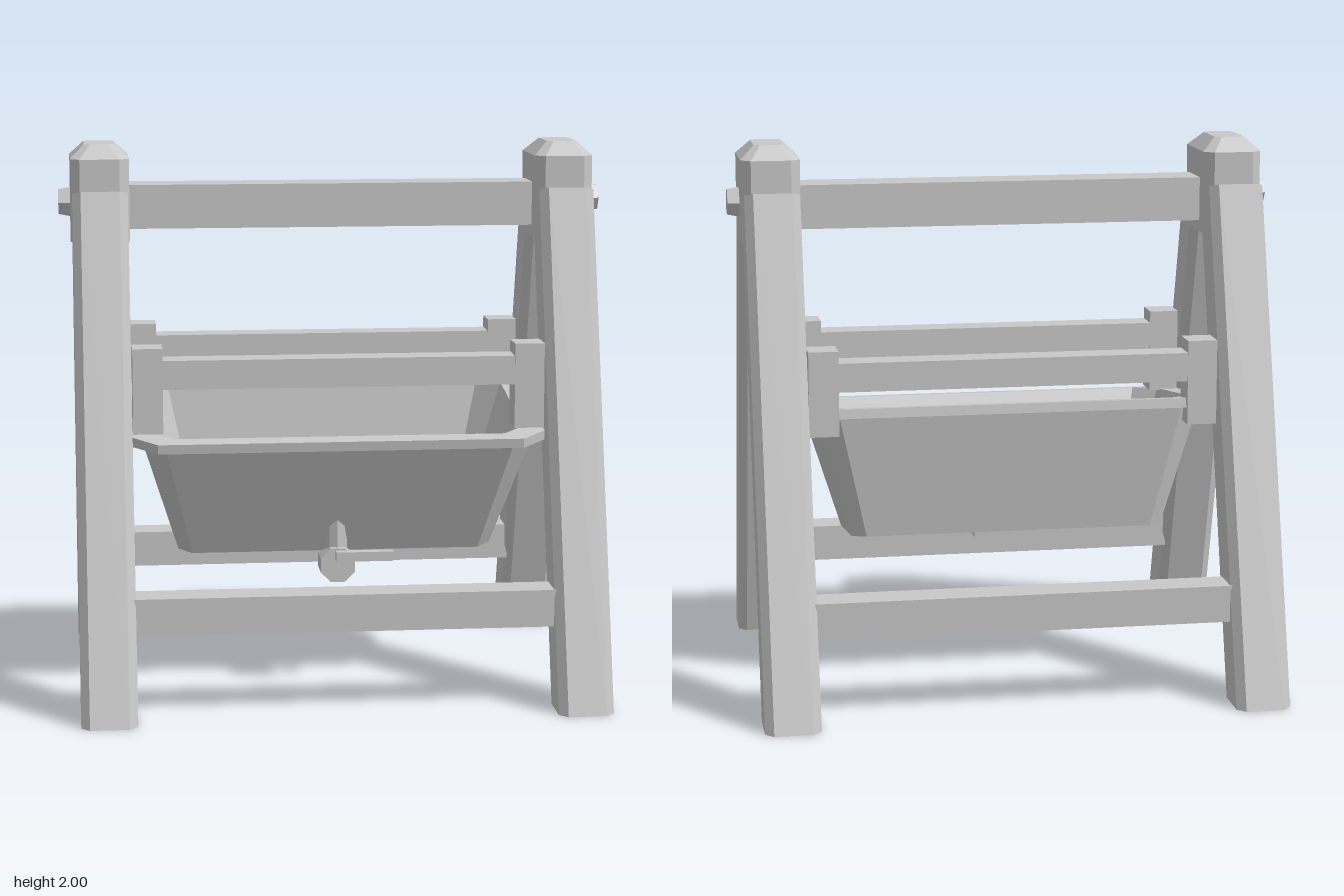
import * as THREE from 'three';

const grey = new THREE.MeshStandardMaterial({ color: 0xc8c8c8 });
grey.name = 'plain grey';

// Eight corners of a rectangle with cut corners at height y
function octagon(y, hx, hz, c) {
  const a = hx - c, b = hz - c;
  return [[hx, -b], [hx, b], [a, hz], [-a, hz], [-hx, b], [-hx, -b], [-a, -hz], [a, -hz]]
    .map(([x, z]) => new THREE.Vector3(x, y, z));
}

// Flat-shaded skin through the rings, closed at both ends
function loft(rings) {
  const pos = [];
  const tri = (...pts) => pts.forEach((p) => pos.push(p.x, p.y, p.z));
  const n = rings[0].length;
  for (let i = 0; i < rings.length - 1; i++) {
    for (let k = 0; k < n; k++) {
      const j = (k + 1) % n;
      const [a, b, c, d] = [rings[i][k], rings[i][j], rings[i + 1][j], rings[i + 1][k]];
      tri(a, d, c);
      tri(a, c, b);
    }
  }
  const end = rings[rings.length - 1];
  for (let k = 1; k < n - 1; k++) {
    tri(rings[0][0], rings[0][k], rings[0][k + 1]);
    tri(end[0], end[k + 1], end[k]);
  }
  const geo = new THREE.BufferGeometry();
  geo.setAttribute('position', new THREE.Float32BufferAttribute(pos, 3));
  geo.computeVertexNormals();
  return geo;
}

export function createModel() {
  const model = new THREE.Group();
  model.name = 'hangingTrough';

  const add = (name, geo, x = 0, y = 0, z = 0, parent = model) => {
    const mesh = new THREE.Mesh(geo.index ? geo.toNonIndexed() : geo, grey);
    mesh.geometry.computeVertexNormals();
    mesh.name = name;
    mesh.position.set(x, y, z);
    parent.add(mesh);
    return mesh;
  };
  const box = (name, w, h, d, x, y, z) => add(name, new THREE.BoxGeometry(w, h, d), x, y, z);

  // Leaning legs, cut level with the ground
  const lean = Math.atan(0.293);
  const foot = octagon(0, 0.1, 0.1, 0.03);
  foot.forEach((p) => { p.y = -p.z * Math.tan(lean); });
  const legGeo = loft([foot, octagon(1.888, 0.1, 0.1, 0.03)]);

  // Chamfered block at the top of each leg pair
  const capGeo = loft([
    octagon(1.65, 0.107, 0.165, 0.035),
    octagon(1.95, 0.107, 0.165, 0.035),
    octagon(2.0, 0.055, 0.105, 0.022),
  ]);

  for (const s of [1, -1]) {
    const side = s > 0 ? 'left' : 'right';
    for (const front of [true, false]) {
      const pivot = new THREE.Group();
      pivot.name = side + (front ? 'FrontLeg' : 'BackLeg');
      pivot.position.x = s * 0.85;
      pivot.rotation.y = front ? 0 : Math.PI;
      add('leg', legGeo, 0, 0, 0.66, pivot).rotation.x = -lean;
      model.add(pivot);
    }
    add(side + 'Cap', capGeo, s * 0.85);

    // Six-sided bolt head on the outer face
    const bolt = new THREE.CylinderGeometry(0.05, 0.062, 0.06, 6);
    add(side + 'Bolt', bolt, s * 0.97, 1.785, 0).rotation.z = -s * Math.PI / 2;
  }

  // Crossbeams
  box('topBeam', 1.52, 0.16, 0.16, 0, 1.77, 0);
  for (const s of [1, -1]) {
    const end = s > 0 ? 'front' : 'back';
    box(end + 'LowerRail', 1.52, 0.135, 0.13, 0, 0.363, s * 0.55);
    box(end + 'UpperRail', 1.49, 0.105, 0.108, 0, 1.193, s * 0.318);
    for (const x of [0.692, -0.692]) {
      box(end + 'RailBracket', 0.108, 0.31, 0.114, x, 1.135, s * 0.318);
    }
  }

  // Tilted trough: outside wall, rim, inside wall and floor
  const trough = loft([
    octagon(0, 0.58, 0.24, 0.05),
    octagon(0.445, 0.71, 0.37, 0.08),
    octagon(0.445, 0.75, 0.41, 0.09),
    octagon(0.48, 0.75, 0.41, 0.09),
    octagon(0.48, 0.68, 0.345, 0.08),
    octagon(0.25, 0.61, 0.28, 0.06),
  ]);
  add('trough', trough, 0, 0.54, -0.015).rotation.x = 0.145;

  // Drain pipe, tap body and lever
  add('drainPipe', new THREE.CylinderGeometry(0.04, 0.04, 0.29, 8), 0, 0.635, 0.24);
  const tap = new THREE.CylinderGeometry(0.068, 0.068, 0.12, 8);
  tap.rotateY(Math.PI / 8);
  add('tapBody', tap, 0, 0.465, 0.24).rotation.x = Math.PI / 2;
  box('tapLever', 0.21, 0.035, 0.035, 0.097, 0.502, 0.313);

  return model;
}
